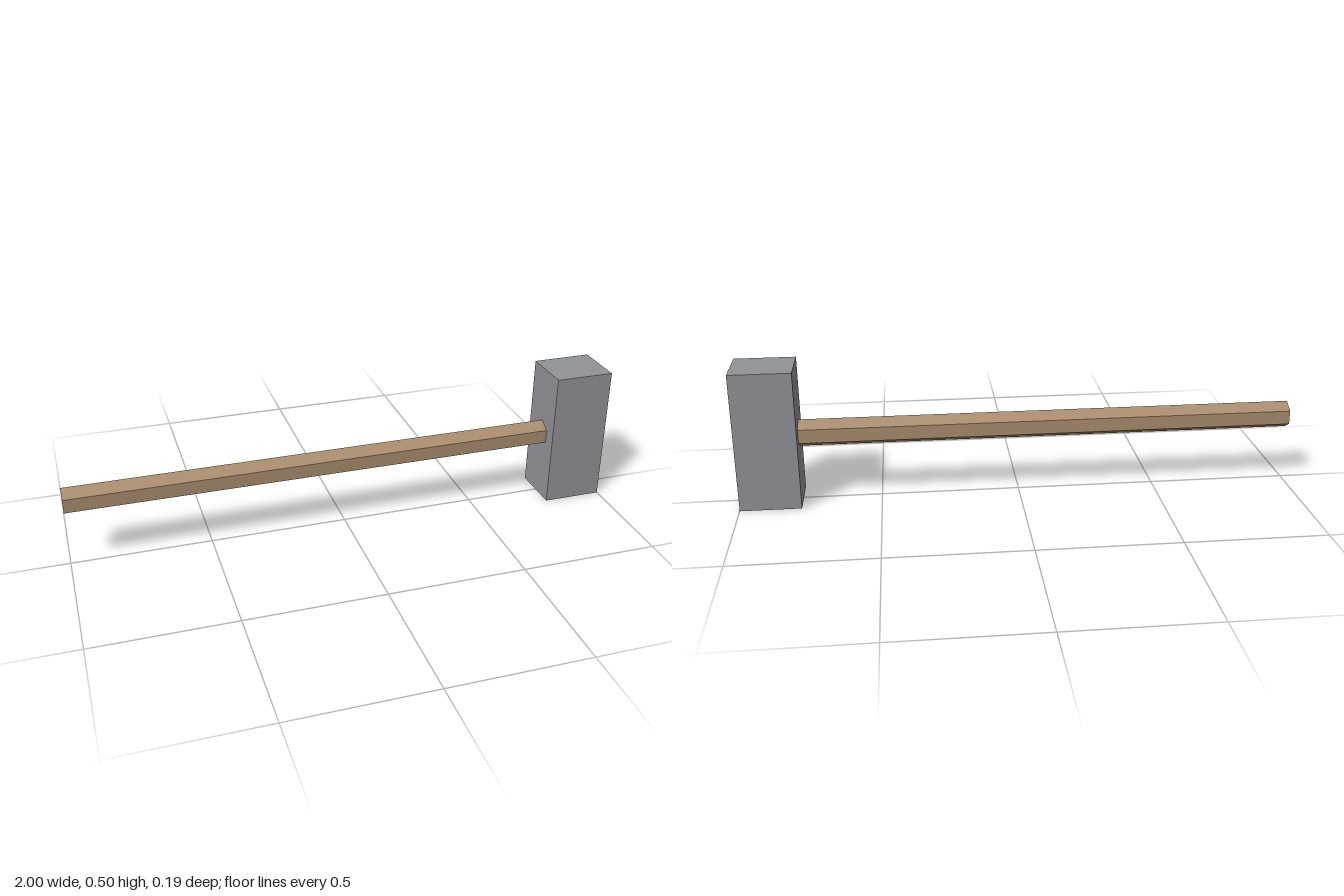
import * as THREE from 'three';

export function createModel() {
  const hammer = new THREE.Group();
  hammer.name = 'hammer';
  const steel = new THREE.MeshStandardMaterial({ name: 'grey steel', color: 0x929397, flatShading: true });
  const wood = new THREE.MeshStandardMaterial({ name: 'brown wood', color: 0xa98c6d, flatShading: true });

  const height = 0.505, headWidth = 0.217, headDepth = 0.188;
  const midY = height / 2;

  // Block head, standing upright at the +x end
  const head = new THREE.Mesh(new THREE.BoxGeometry(headWidth, height, headDepth), steel);
  head.name = 'head';
  head.position.set(1 - headWidth / 2, midY, 0);

  // Six-sided handle with a ridge on top, its end set slightly into the head
  const length = 2 - headWidth + 0.02;
  const shaft = new THREE.CylinderGeometry(0.05, 0.05, length, 6, 1, false, Math.PI / 2);
  shaft.rotateZ(Math.PI / 2);
  const handle = new THREE.Mesh(shaft, wood);
  handle.name = 'handle';
  handle.position.set(-1 + length / 2, midY, 0);

  hammer.add(head, handle);
  return hammer;
}
